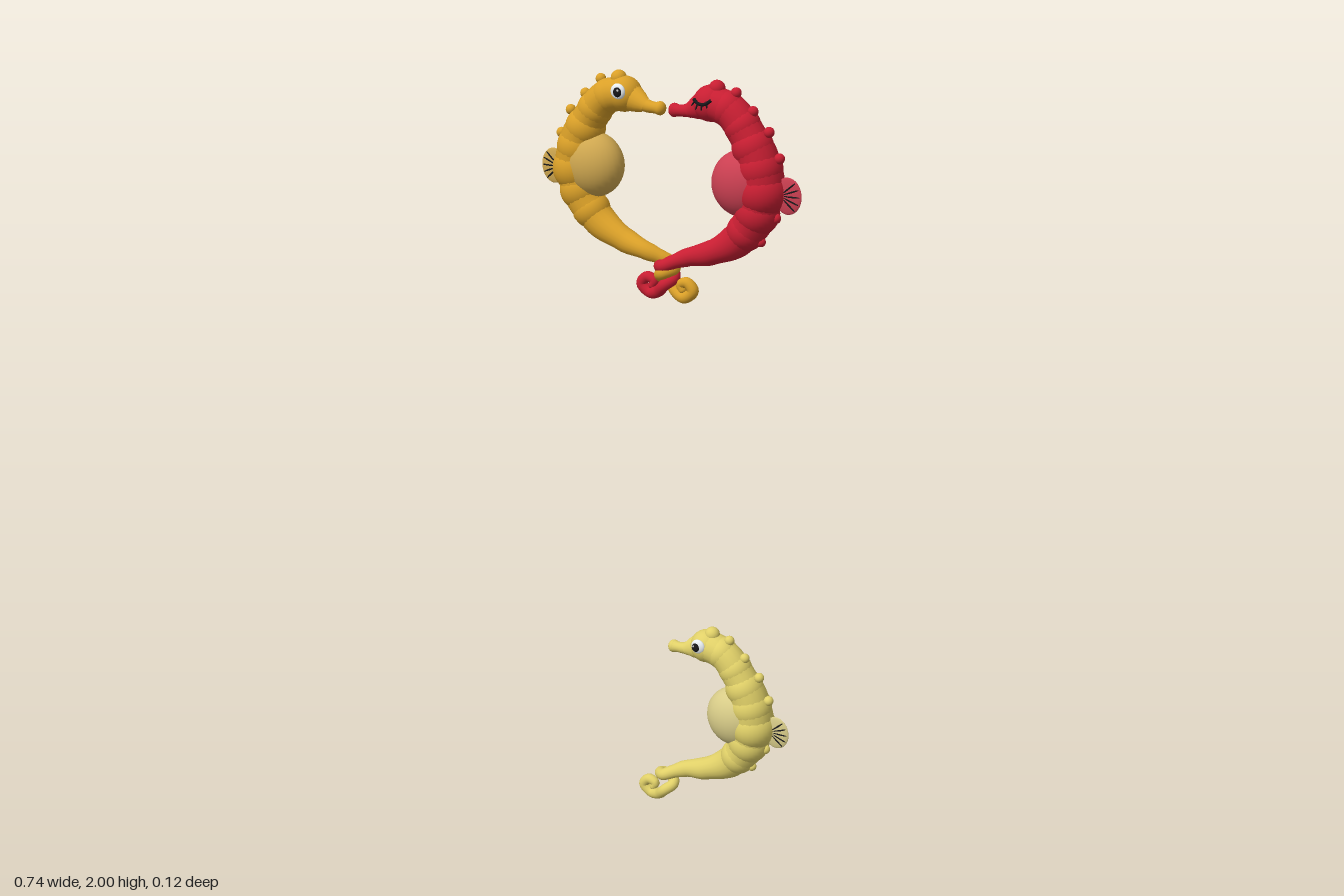
import * as THREE from 'three';

const mat = (color) => new THREE.MeshStandardMaterial({ color });

function add(group, name, geometry, material, pos = [0, 0, 0], scale = [1, 1, 1]) {
  const m = new THREE.Mesh(geometry, material);
  m.name = name;
  m.position.set(...pos);
  m.scale.set(...scale);
  group.add(m);
  return m;
}

const ball = new THREE.SphereGeometry(1, 28, 20);

// Tube through rows of [x, y, z, radius], with the radius blended along the way
function taperedTube(rows, segments, sides) {
  const curve = new THREE.CatmullRomCurve3(rows.map((r) => new THREE.Vector3(r[0], r[1], r[2])));
  const geo = new THREE.TubeGeometry(curve, segments, 1, sides, false);
  const p = geo.attributes.position;
  const v = new THREE.Vector3();
  for (let i = 0; i <= segments; i++) {
    const c = curve.getPointAt(i / segments);
    const f = curve.getUtoTmapping(i / segments) * (rows.length - 1);
    const k = Math.min(Math.floor(f), rows.length - 2);
    const r = THREE.MathUtils.lerp(rows[k][3], rows[k + 1][3], THREE.MathUtils.smoothstep(f - k, 0, 1));
    for (let j = 0; j <= sides; j++) {
      const n = i * (sides + 1) + j;
      v.fromBufferAttribute(p, n).sub(c).multiplyScalar(r).add(c);
      p.setXYZ(n, v.x, v.y, v.z);
    }
  }
  return geo;
}

// Head, trunk and tail centreline: snout faces -x
const TRUNK = [
  [0.06, 0.49, 0, 0.018], [0.085, 0.5, 0, 0.028], [0.12, 0.513, 0, 0.042], [0.175, 0.5, 0, 0.042],
  [0.22, 0.45, 0, 0.044], [0.252, 0.39, 0, 0.051], [0.263, 0.325, 0, 0.056], [0.245, 0.25, 0, 0.05],
  [0.2, 0.19, 0, 0.042], [0.127, 0.148, 0, 0.031], [0.06, 0.127, 0, 0.023],
];
const TAIL = [
  [0.025, 0.113, 0.012, 0.018], [0, 0.101, 0.02, 0.016], [-0.02, 0.093, 0, 0.016], [0, 0.083, -0.02, 0.016],
  [0.02, 0.069, 0, 0.015], [0.002, 0.052, 0.016, 0.015], [-0.022, 0.03, 0.008, 0.015],
  [-0.05, 0.022, 0, 0.015], [-0.074, 0.042, 0, 0.015], [-0.058, 0.061, 0, 0.014],
  [-0.038, 0.054, 0, 0.012], [-0.044, 0.041, 0, 0.01],
];
// Rounded body rings [x, y, radius]
const RINGS = [
  [0.122, 0.514, 0.044], [0.168, 0.505, 0.043], [0.208, 0.468, 0.045], [0.237, 0.42, 0.051],
  [0.257, 0.37, 0.056], [0.265, 0.315, 0.061], [0.252, 0.262, 0.055], [0.222, 0.213, 0.048],
];
// Knobs down the back [x, y, radius]
const KNOBS = [
  [0.138, 0.551, 0.02], [0.19, 0.545, 0.013], [0.236, 0.505, 0.013], [0.28, 0.46, 0.013],
  [0.309, 0.4, 0.013], [0.302, 0.255, 0.013], [0.263, 0.192, 0.012],
];

// eyeSide is the z direction the eye and fin ribs lie on
function seahorse(name, color, pale, eyeSide, winking) {
  const g = new THREE.Group();
  g.name = name;
  const skin = mat(color);
  const soft = mat(pale);
  const dark = mat(0x17171a);

  add(g, 'body', taperedTube([...TRUNK, ...TAIL], 220, 18), skin);
  add(g, 'tailTip', ball, skin, [-0.044, 0.041, 0], [0.01, 0.01, 0.01]);
  RINGS.forEach(([x, y, r]) => add(g, 'bodyRing', ball, skin, [x, y, 0], [r, r, r]));
  KNOBS.forEach(([x, y, r]) => add(g, 'backKnob', ball, skin, [x, y, 0], [r, r, r]));

  // Snout with a flared mouth
  const snout = taperedTube(
    [[0.02, 0.488, 0, 0.017], [0.035, 0.488, 0, 0.014], [0.06, 0.491, 0, 0.016], [0.095, 0.504, 0, 0.032]], 24, 18);
  add(g, 'snout', snout, skin);
  add(g, 'mouth', ball, skin, [0.02, 0.488, 0], [0.014, 0.017, 0.017]);

  add(g, 'belly', ball, soft, [0.213, 0.33, 0], [0.082, 0.082, 0.061]);

  // Back fin with ribs
  add(g, 'backFin', ball, soft, [0.333, 0.313, 0], [0.037, 0.045, 0.006]);
  for (let i = -2; i <= 2; i++) {
    const a = i * 0.36;
    const rib = add(g, 'finRib', ball, dark,
      [0.318 + Math.cos(a) * 0.026, 0.313 + Math.sin(a) * 0.03, eyeSide * 0.004], [0.022, 0.0022, 0.0035]);
    rib.rotation.z = a;
  }

  if (winking) {
    // Closed lid with lashes
    const lid = new THREE.CatmullRomCurve3([[0.098, 0.528, 0.041], [0.113, 0.519, 0.046],
      [0.13, 0.519, 0.045], [0.145, 0.529, 0.04]].map((p) => new THREE.Vector3(p[0], p[1], p[2] * eyeSide)));
    add(g, 'closedEyelid', new THREE.TubeGeometry(lid, 20, 0.004, 8), dark);
    for (let i = 0; i < 4; i++) {
      const p = lid.getPoint(0.1 + i * 0.25);
      const lash = add(g, 'eyelash', ball, dark, [p.x - 0.004, p.y - 0.006, p.z + eyeSide * 0.002],
        [0.002, 0.009, 0.002]);
      lash.rotation.z = -0.6 + i * 0.25;
    }
  } else {
    add(g, 'eyeWhite', ball, mat(0xe8eef2), [0.117, 0.525, eyeSide * 0.038], [0.02, 0.02, 0.01]);
    add(g, 'pupil', ball, dark, [0.114, 0.525, eyeSide * 0.046], [0.011, 0.012, 0.007]);
    add(g, 'eyeGlint', ball, mat(0xffffff), [0.11, 0.53, eyeSide * 0.0515], [0.003, 0.003, 0.002]);
  }
  return g;
}

export function createModel() {
  const model = new THREE.Group();
  model.name = 'seahorses';

  const red = seahorse('redSeahorse', 0xc81e32, 0xcc4052, 1, true);
  red.position.y = 1.43;

  // Half a turn brings the partner face to face and interlocks the tails
  const gold = seahorse('goldSeahorse', 0xdaa028, 0xd0a850, -1, false);
  gold.position.y = 1.43;
  gold.rotation.y = Math.PI;

  const young = seahorse('yellowSeahorse', 0xe0d068, 0xd8cc88, 1, false);
  young.position.y = -0.005;

  model.add(red, gold, young);
  return model;
}
